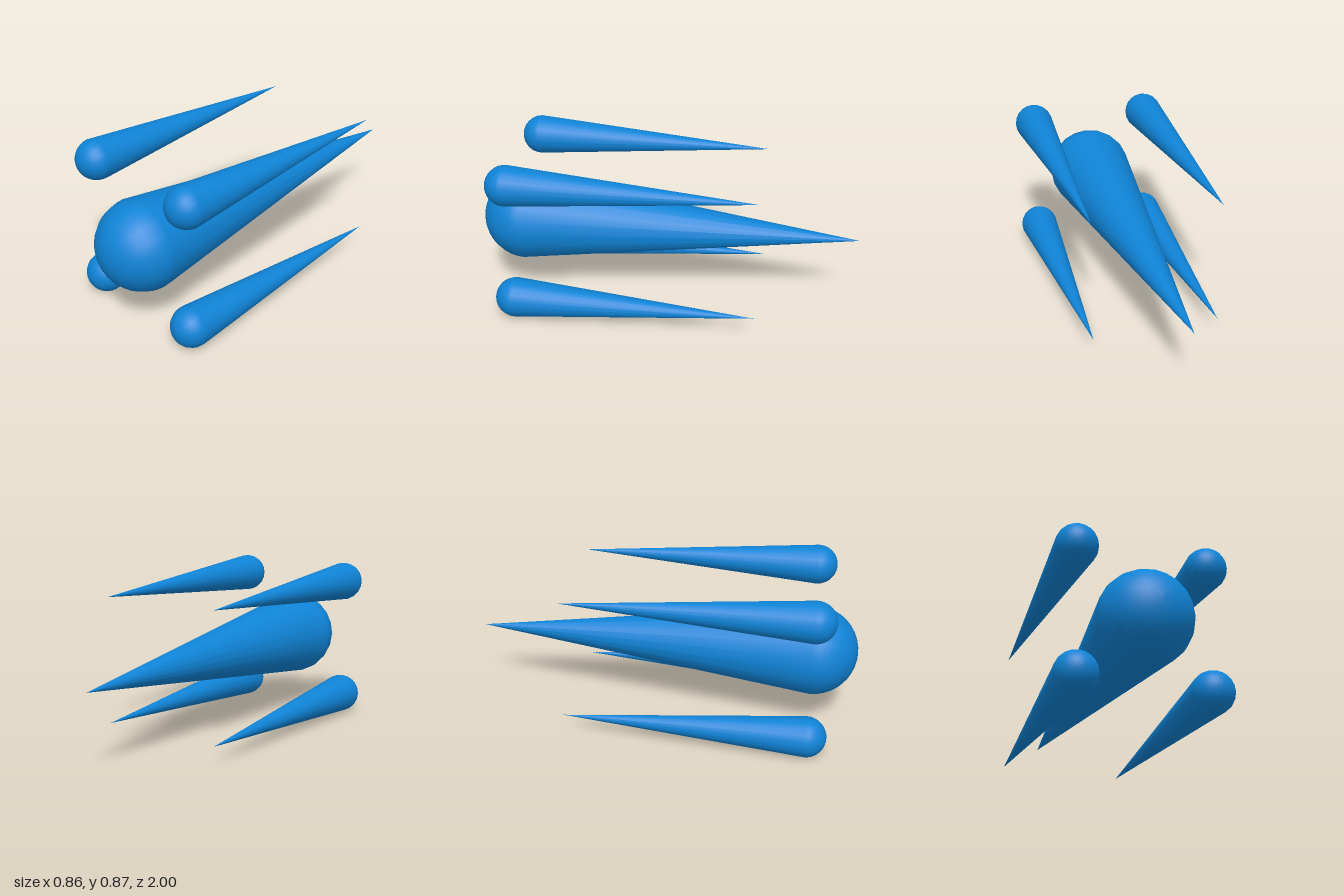
import * as THREE from 'three';

const blue = new THREE.MeshStandardMaterial({ color: 0x0f83d6 });

// A round-nosed dart along z: pointed tail at the back, hemisphere at the front.
function makeDart(name, radius, tipZ, noseZ, x, y) {
  const baseZ = noseZ - radius;
  const profile = [new THREE.Vector2(0, tipZ)];
  const steps = 10;
  for (let i = 0; i <= steps; i++) {
    const a = (i / steps) * Math.PI / 2;
    profile.push(new THREE.Vector2(i === steps ? 0 : radius * Math.cos(a), baseZ + radius * Math.sin(a)));
  }
  const geometry = new THREE.LatheGeometry(profile, 20);
  geometry.rotateX(Math.PI / 2);
  const dart = new THREE.Mesh(geometry, blue);
  dart.name = name;
  dart.position.set(x, y, 0);
  return dart;
}

export function createModel() {
  const model = new THREE.Group();
  model.name = 'dartCluster';

  // Large central dart
  model.add(makeDart('centreDart', 0.232, -1, 1, 0, 0.427));

  // Four small darts around it
  const corners = [
    ['lowerRightDart', -0.329, 0.105],
    ['upperRightDart', -0.329, 0.76],
    ['lowerLeftDart', 0.327, 0.109],
    ['upperLeftDart', 0.327, 0.764],
  ];
  for (const [name, x, y] of corners) model.add(makeDart(name, 0.104, -0.495, 0.867, x, y));

  return model;
}
